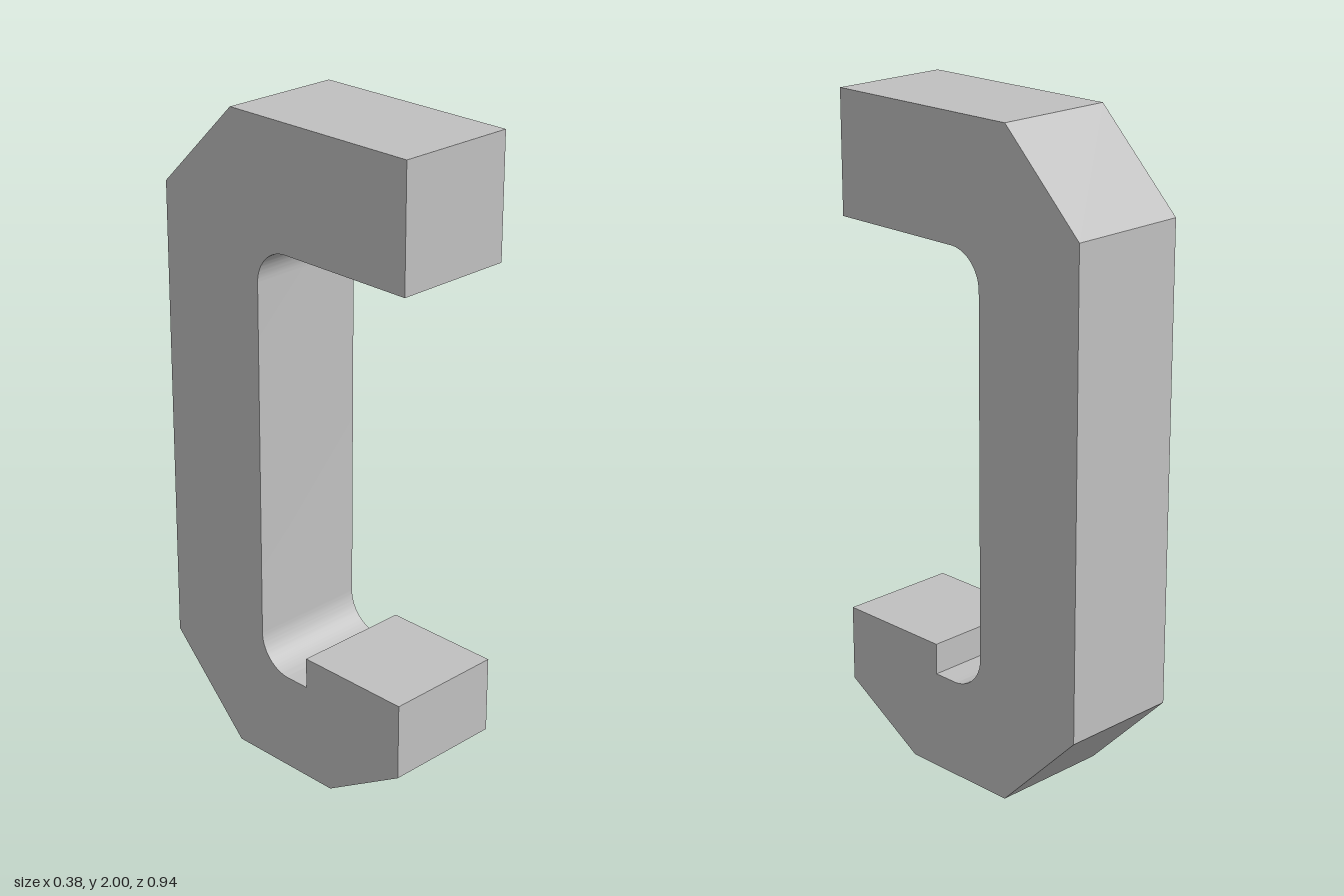
import * as THREE from 'three';
import { toCreasedNormals } from 'three/addons/utils/BufferGeometryUtils.js';

export function createModel() {
  const group = new THREE.Group();
  group.name = 'clampBracket';
  const grey = new THREE.MeshStandardMaterial({ color: 0xc0c0c0 });
  grey.name = 'plain grey';

  const width = 0.376;
  const r = 0.11; // inner fillet radius
  const inner = 0.092; // inner face of the spine

  // Side profile; shape x runs from the front to the back
  const s = new THREE.Shape();
  s.moveTo(-0.468, 2);
  s.lineTo(-0.468, 1.628);
  // upper jaw underside, fillet, spine, lower fillet
  s.lineTo(inner - r, 1.628);
  s.absarc(inner - r, 1.628 - r, r, Math.PI / 2, 0, true);
  s.lineTo(inner, 0.304 + r);
  s.absarc(inner - r, 0.304 + r, r, 0, -Math.PI / 2, true);
  // notch and raised lower lip
  s.lineTo(-0.094, 0.304);
  s.lineTo(-0.094, 0.4);
  s.lineTo(-0.468, 0.4);
  s.lineTo(-0.468, 0.163);
  // chamfered outside
  s.lineTo(-0.194, 0);
  s.lineTo(0.193, 0);
  s.lineTo(0.468, 0.278);
  s.lineTo(0.468, 1.727);
  s.lineTo(0.193, 2);
  s.closePath();

  const extruded = new THREE.ExtrudeGeometry(s, { depth: width, bevelEnabled: false, curveSegments: 16 });
  extruded.translate(0, 0, -width / 2);
  extruded.rotateY(Math.PI / 2);

  const body = new THREE.Mesh(toCreasedNormals(extruded, 0.4), grey);
  body.name = 'bracketBody';
  group.add(body);
  return group;
}
